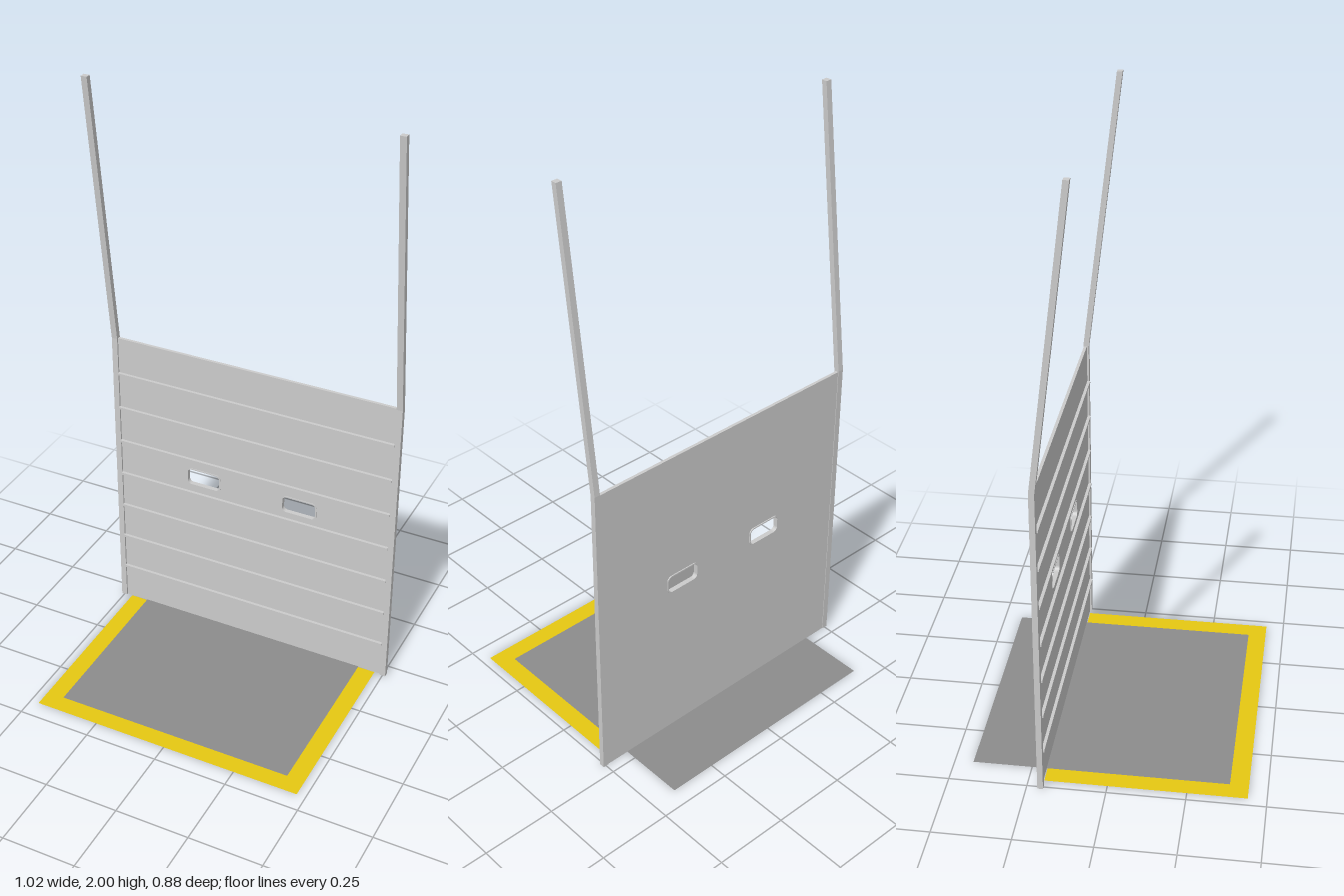
import * as THREE from 'three';

const grey = new THREE.MeshStandardMaterial({ color: 0xcccccc });
const darkGrey = new THREE.MeshStandardMaterial({ color: 0x8c8c8c, side: THREE.DoubleSide });
const yellow = new THREE.MeshStandardMaterial({ color: 0xe6c812, side: THREE.DoubleSide });

function part(name, geometry, material = grey) {
  const mesh = new THREE.Mesh(geometry, material);
  mesh.name = name;
  return mesh;
}

function polygon(points) {
  return new THREE.Shape(points.map(([x, y]) => new THREE.Vector2(x, y)));
}

function extrude(shape, depth) {
  return new THREE.ExtrudeGeometry(shape, { depth, bevelEnabled: false, curveSegments: 5 });
}

// Rounded rectangle outline, used for the grip openings and their rims
function roundedRect(cx, cy, w, h, r, PathType) {
  const p = new PathType();
  const x = w / 2 - r, y = h / 2 - r;
  p.absarc(cx + x, cy + y, r, 0, Math.PI / 2);
  p.absarc(cx - x, cy + y, r, Math.PI / 2, Math.PI);
  p.absarc(cx - x, cy - y, r, Math.PI, Math.PI * 1.5);
  p.absarc(cx + x, cy - y, r, Math.PI * 1.5, Math.PI * 2);
  p.closePath();
  return p;
}

export function createModel() {
  const model = new THREE.Group();
  model.name = 'loadingPlatform';
  const height = 1.06;
  const grips = [[-0.178, 0.593], [0.172, 0.588]];

  // Upright panel with two grip openings
  const panelShape = polygon([[-0.49, 0], [0.49, 0], [0.49, height], [-0.49, height]]);
  for (const [x, y] of grips) panelShape.holes.push(roundedRect(x, y, 0.122, 0.062, 0.016, THREE.Path));
  const panel = part('panel', extrude(panelShape, 0.01));
  panel.position.z = -0.213;
  model.add(panel);

  // Thin rims lining the grip openings
  for (const [x, y] of grips) {
    const rimShape = roundedRect(x, y, 0.126, 0.066, 0.018, THREE.Shape);
    rimShape.holes.push(roundedRect(x, y, 0.118, 0.058, 0.014, THREE.Path));
    const rim = part('gripRim', extrude(rimShape, 0.016));
    rim.position.z = -0.2165;
    model.add(rim);
  }

  // Horizontal ribs across the front of the panel
  for (let i = 1; i <= 7; i++) {
    const rib = part('rib', new THREE.BoxGeometry(0.98, 0.008, 0.01));
    rib.position.set(0, i * height / 8, -0.198);
    model.add(rib);
  }

  // Side posts, upright below and leaning forward above the panel
  const postShape = polygon([
    [-0.215, 0], [-0.197, 0], [-0.197, height], [-0.081, 2], [-0.099, 2], [-0.215, height + 0.003],
  ]);
  for (const side of [1, -1]) {
    const post = part(side > 0 ? 'leftPost' : 'rightPost', extrude(postShape, 0.02));
    post.rotation.y = -Math.PI / 2;
    post.position.x = side * 0.5 + 0.01;
    model.add(post);
  }

  // Flat floor plate passing under the panel
  const plate = part('floorPlate', new THREE.PlaneGeometry(0.82, 0.82).rotateX(-Math.PI / 2), darkGrey);
  plate.position.set(0, 0.001, -0.03);
  model.add(plate);

  // Warning border around the front three sides of the plate
  const borderShape = polygon([
    [-0.47, 0.2], [-0.47, -0.44], [0.47, -0.44], [0.47, 0.2],
    [0.41, 0.2], [0.41, -0.38], [-0.41, -0.38], [-0.41, 0.2],
  ]);
  const border = part('warningBorder', new THREE.ShapeGeometry(borderShape).rotateX(-Math.PI / 2), yellow);
  border.position.y = 0.001;
  model.add(border);

  return model;
}
